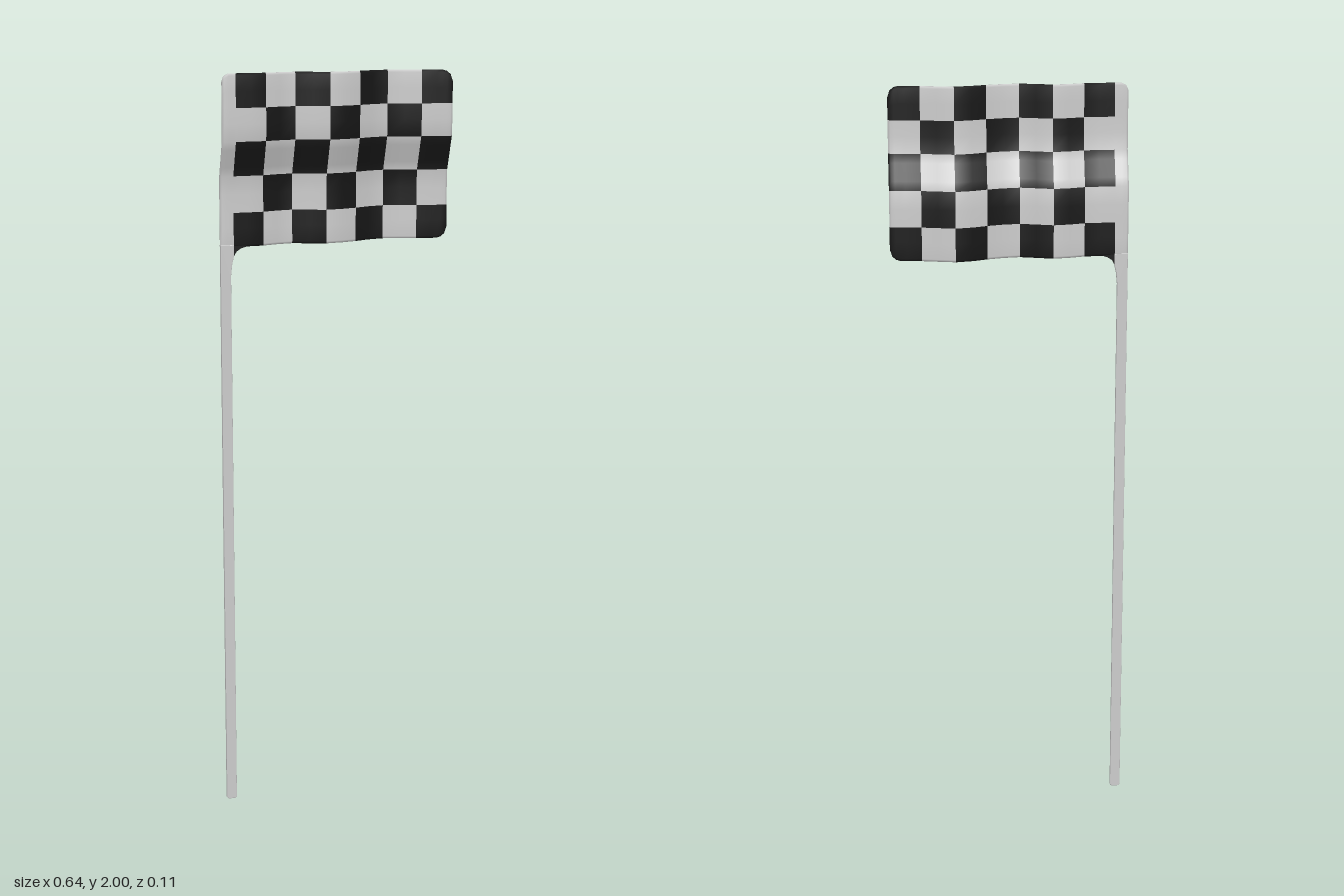
import * as THREE from 'three';

const grey = new THREE.MeshStandardMaterial({ color: 0xcccccc });
const black = new THREE.MeshStandardMaterial({ color: 0x161616 });

const HALF = 0.006;                                            // half thickness of the cloth
const X0 = -0.318, X1 = 0.318, BOTTOM = 1.547, TOP = 2;
const colLines = [-0.282, -0.2, -0.115, -0.028, 0.06, 0.146, 0.234];
const rowLines = [1.637, 1.733, 1.825, 1.912];

// the wave along the flag: [x, z of the lower part]
const wave = [
  [X0, 0.009], [-0.313, 0.009], [-0.3, 0.009], [-0.282, 0.008], [-0.24, 0.006], [-0.2, 0.002],
  [-0.158, -0.014], [-0.115, -0.023], [-0.072, -0.008], [-0.028, 0.006], [0.018, -0.003],
  [0.06, -0.019], [0.1, -0.04], [0.146, -0.053], [0.19, -0.042], [0.234, -0.03],
  [0.275, -0.026], [0.29, -0.024], [0.302, -0.023], [0.312, -0.022], [X1, -0.021],
];
const ys = [BOTTOM, 1.553, 1.595, 1.637, 1.685, 1.733, 1.756, 1.779, 1.802, 1.825, 1.87, 1.912, 1.955, 1.994, TOP];

// the upper part of the cloth bulges forward
const bulge = (y) => 0.04 * THREE.MathUtils.clamp((y - 1.728) / 0.104, 0, 1);

// how far a rounded corner of radius r pulls the edge in, at distance d from the end
const cornerCut = (d, r) => (d >= r ? 0 : r - Math.sqrt(r * r - (r - d) ** 2));

function cloth() {
  const n = ys.length, ring = 2 * n, pos = [];
  wave.forEach(([x, z], i) => {
    const top = TOP - cornerCut(x - X0, 0.02) - cornerCut(X1 - x, 0.03);
    const bottom = BOTTOM + cornerCut(X1 - x, 0.03);
    for (let k = 0; k < ring; k++) {
      const j = k < n ? k : ring - 1 - k;
      let y = ys[j];
      if (y > 1.912) y = THREE.MathUtils.mapLinear(y, 1.912, TOP, 1.912, top);
      if (y < 1.637) y = THREE.MathUtils.mapLinear(y, BOTTOM, 1.637, bottom, 1.637);
      const edge = j === 0 || j === n - 1 || i === 0 || i === wave.length - 1;
      const h = edge ? HALF * 0.5 : HALF;
      pos.push(x, y, z + bulge(ys[j]) + (k < n ? h : -h));
    }
  });

  // sort the faces into grey and black squares
  const faces = { grey: [], black: [] };
  const quad = (x, y, a, b, c, d) => {
    const col = colLines.filter((v) => v < x).length;
    const row = rowLines.filter((v) => v < y).length;
    faces[col > 0 && (col + row) % 2 === 1 ? 'black' : 'grey'].push(a, b, c, a, c, d);
  };
  const last = wave.length - 1;
  for (let i = 0; i < last; i++) {
    const x = (wave[i][0] + wave[i + 1][0]) / 2;
    for (let k = 0; k < ring; k++) {
      const k2 = (k + 1) % ring;
      const j = k < n ? k : ring - 1 - k, j2 = k2 < n ? k2 : ring - 1 - k2;
      quad(x, (ys[j] + ys[j2]) / 2, i * ring + k, (i + 1) * ring + k, (i + 1) * ring + k2, i * ring + k2);
    }
  }
  // narrow end faces
  for (let j = 0; j < n - 1; j++) {
    const y = (ys[j] + ys[j + 1]) / 2, e = last * ring, b = ring - 1 - j;
    quad(X0, y, b, j, j + 1, b - 1);
    quad(X1, y, e + j, e + b, e + b - 1, e + j + 1);
  }

  // both colours share positions and smooth normals
  const whole = new THREE.BufferGeometry();
  whole.setAttribute('position', new THREE.Float32BufferAttribute(pos, 3));
  whole.setIndex([...faces.grey, ...faces.black]);
  whole.computeVertexNormals();
  const group = new THREE.Group();
  group.name = 'flag';
  for (const [name, list, material] of [['greySquares', faces.grey, grey], ['blackSquares', faces.black, black]]) {
    const geo = new THREE.BufferGeometry();
    geo.setAttribute('position', whole.getAttribute('position'));
    geo.setAttribute('normal', whole.getAttribute('normal'));
    geo.setIndex(list);
    const mesh = new THREE.Mesh(geo, material);
    mesh.name = name;
    group.add(mesh);
  }
  return group;
}

// flat part cut from an outline, with slightly bevelled edges
function plate(name, points, material, bevel) {
  const shape = new THREE.Shape(points.map(([x, y]) => new THREE.Vector2(x, y)));
  const geo = new THREE.ExtrudeGeometry(shape, {
    depth: 2 * (HALF - bevel), bevelEnabled: bevel > 0, bevelThickness: bevel,
    bevelSize: bevel, bevelOffset: -bevel, bevelSegments: 2,
  });
  geo.translate(0, 0, 0.009 - (HALF - bevel));
  const mesh = new THREE.Mesh(geo, material);
  mesh.name = name;
  return mesh;
}

export function createModel() {
  const model = new THREE.Group();
  model.name = 'chequeredFlag';
  model.add(cloth());
  // pole, widening a little where it meets the cloth
  model.add(plate('pole', [
    [-0.314, 0], [-0.294, 0], [-0.29, 0.005], [-0.29, 1.47], [-0.287, 1.5],
    [-0.281, 1.525], [-0.281, 1.553], [X0, 1.553], [X0, 0.005],
  ], grey, 0.002));
  // small fillet under the cloth
  model.add(plate('fillet', [
    [-0.282, 1.523], [-0.275, 1.535], [-0.263, 1.543], [-0.25, 1.547], [-0.25, 1.55], [-0.282, 1.55],
  ], black, 0));
  return model;
}
